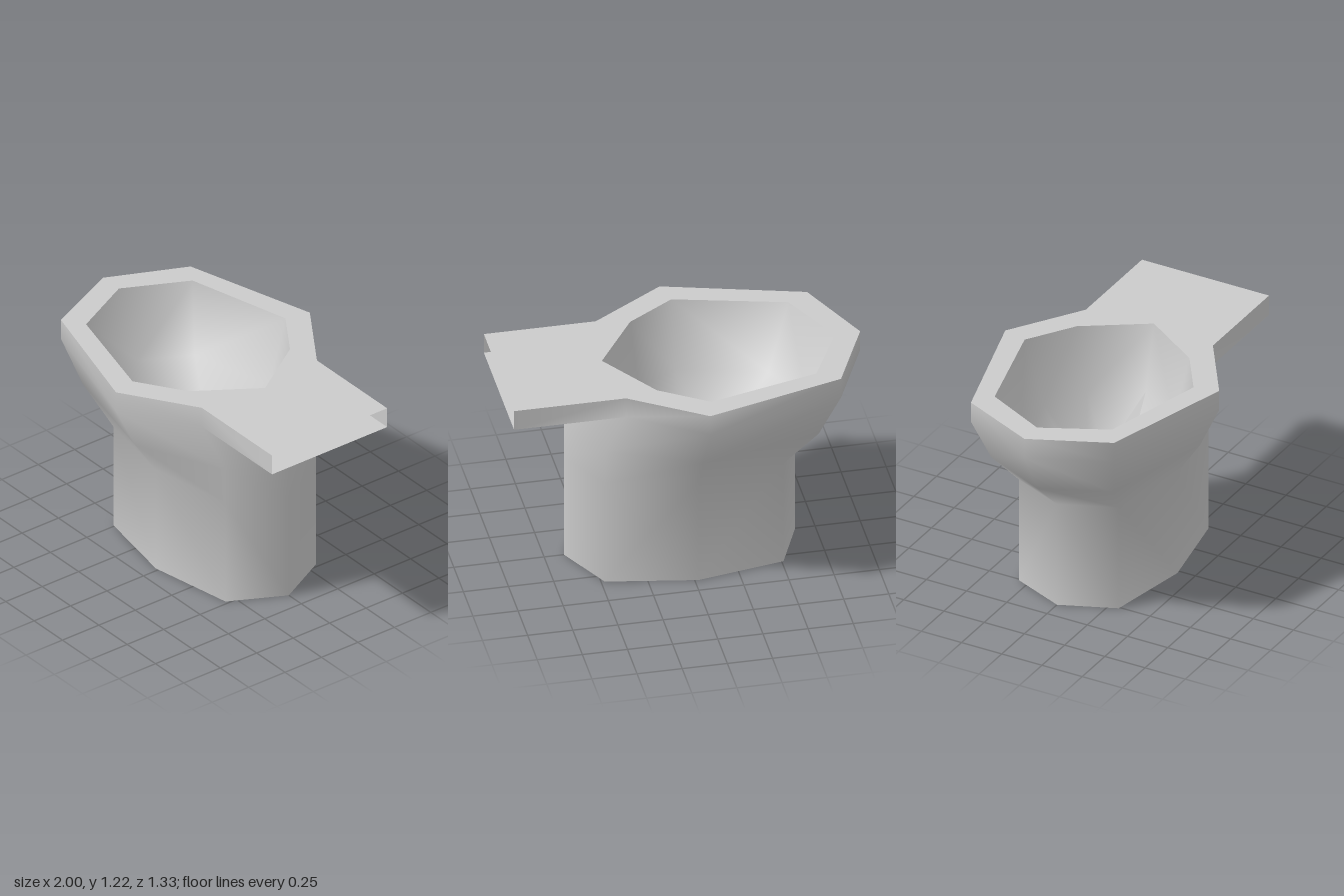
import * as THREE from 'three';
import { mergeGeometries, toCreasedNormals } from 'three/addons/utils/BufferGeometryUtils.js';

const material = new THREE.MeshStandardMaterial({ color: 0xcccccc, side: THREE.DoubleSide });

// Full outline from its +z half, listed from the +x end to the -x end.
// Points on the centre line are not doubled.
function mirror(half) {
  const back = half.filter(([, z]) => z !== 0).map(([x, z]) => [x, -z]).reverse();
  return [...half, ...back];
}

// Skin between stacked rings [y, outline]; upward stacks face out, downward stacks face in.
function loft(rings, closed = true) {
  const positions = [];
  for (let r = 0; r < rings.length - 1; r++) {
    const [y0, lower] = rings[r];
    const [y1, upper] = rings[r + 1];
    const n = lower.length;
    for (let i = 0; i < (closed ? n : n - 1); i++) {
      const j = (i + 1) % n;
      const a = [lower[i][0], y0, lower[i][1]];
      const b = [lower[j][0], y0, lower[j][1]];
      const c = [upper[j][0], y1, upper[j][1]];
      const d = [upper[i][0], y1, upper[i][1]];
      // mirrored diagonals keep both sides alike
      if (i < n / 2) positions.push(...a, ...d, ...c, ...a, ...c, ...b);
      else positions.push(...a, ...d, ...b, ...d, ...c, ...b);
    }
  }
  const geometry = new THREE.BufferGeometry();
  geometry.setAttribute('position', new THREE.Float32BufferAttribute(positions, 3));
  return geometry;
}

// Flat horizontal face, facing up (dir 1) or down (dir -1)
function plate(outline, y, dir, hole) {
  const points = (list) => list.map(([x, z]) => new THREE.Vector2(x, -dir * z));
  const shape = new THREE.Shape(points(outline));
  if (hole) shape.holes.push(new THREE.Path(points(hole)));
  const geometry = new THREE.ShapeGeometry(shape).rotateX(-dir * Math.PI / 2).translate(0, y, 0).toNonIndexed();
  geometry.deleteAttribute('uv');
  geometry.deleteAttribute('normal');
  return geometry;
}

export function createModel() {
  const group = new THREE.Group();
  const add = (name, parts, crease) => {
    const mesh = new THREE.Mesh(toCreasedNormals(mergeGeometries(parts), crease), material);
    mesh.name = name;
    group.add(mesh);
  };

  // Outlines of the pedestal, flare and rim
  const foot = mirror([[0.64, 0], [0.48, 0.31], [-0.02, 0.4], [-0.51, 0.31], [-0.64, 0]]);
  const flare = mirror([[0.64, 0], [0.48, 0.31], [-0.02, 0.54], [-0.69, 0.38], [-0.86, 0]]);
  const flareTop = mirror([[0.64, 0], [0.38, 0.395], [-0.03, 0.665], [-0.8, 0.445], [-1, 0]]);
  const rim = mirror([[1, 0.395], [0.38, 0.395], [-0.03, 0.665], [-0.8, 0.445], [-1, 0]]);
  const shelf = [[0.64, 0], [0.38, 0.395], [1, 0.395], [1, -0.395], [0.38, -0.395]];

  // Pedestal flaring into the rim band; the shelf end stays open
  add('pedestal', [
    loft([[0, foot], [0.63, foot], [0.84, flare], [1.1, flareTop]]),
    loft([[1.1, rim], [1.22, rim]], false),
    plate(shelf, 1.1, -1),
  ], 1.2);

  // Hollow bowl
  const opening = mirror([[0.43, 0], [0.2, 0.35], [-0.065, 0.525], [-0.68, 0.365], [-0.86, 0]]);
  const middle = mirror([[0.34, 0], [0.17, 0.27], [-0.06, 0.41], [-0.55, 0.28], [-0.7, 0]]);
  const floor = mirror([[0.17, 0], [0.08, 0.11], [-0.04, 0.15], [-0.2, 0.1], [-0.26, 0]]);
  add('bowl', [loft([[1.22, opening], [0.84, middle], [0.55, floor]]), plate(floor, 0.55, 1)], 1.2);

  // Flat top with the bowl opening
  add('rimTop', [plate(rim, 1.22, 1, opening)], 0.5);

  return group;
}
